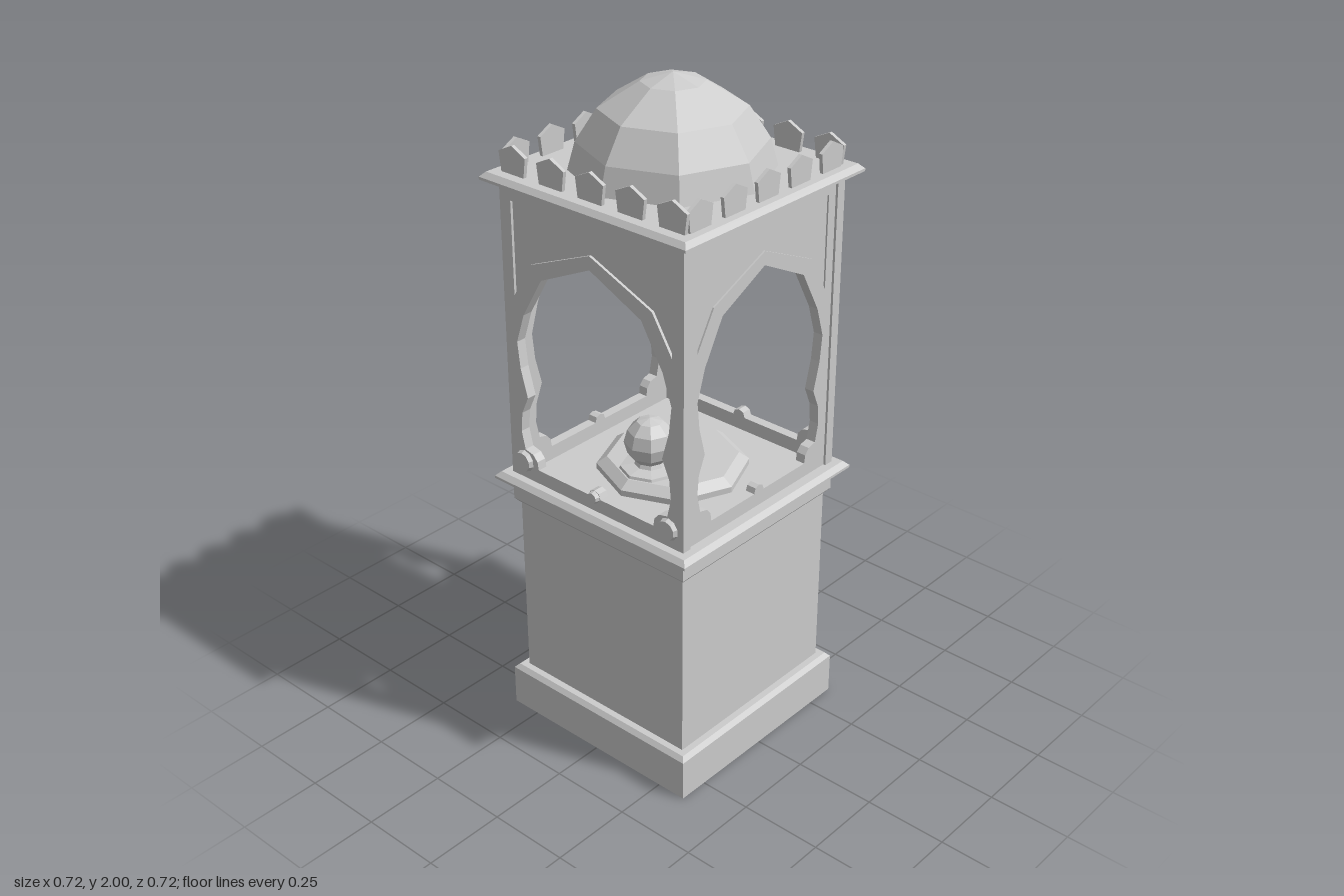
import * as THREE from 'three';

export function createModel() {
  const model = new THREE.Group();
  const stone = new THREE.MeshStandardMaterial({ color: 0xcccccc, flatShading: true });
  stone.name = 'stone';

  const add = (name, geometry, x = 0, y = 0, z = 0, parent = model) => {
    const mesh = new THREE.Mesh(geometry, stone);
    mesh.name = name;
    mesh.position.set(x, y, z);
    parent.add(mesh);
    return mesh;
  };
  const points = (list) => list.map(([x, y]) => new THREE.Vector2(x, y));
  const extrude = (shape, depth) => new THREE.ExtrudeGeometry(shape, { depth, bevelEnabled: false, curveSegments: 6 });

  // Square moulding: a profile of [half width, height] turned in four sides
  const square = (name, profile) => {
    const pts = points(profile.map(([r, y]) => [r * Math.SQRT2, y]));
    add(name, new THREE.LatheGeometry(pts, 4, Math.PI / 4));
  };
  const octagon = (name, profile, x = 0, y = 0, z = 0) =>
    add(name, new THREE.LatheGeometry(points(profile), 8), x, y, z);

  // Lower body
  square('plinth', [[0, 0], [0.342, 0], [0.342, 0.127], [0.33, 0.14], [0, 0.14]]);
  add('pedestal', new THREE.BoxGeometry(0.62, 0.61, 0.608), 0, 0.435, 0.006);
  square('frieze', [[0, 0.72], [0.315, 0.72], [0.325, 0.732], [0.325, 0.8], [0, 0.8]]);

  // Back face with a sunken rectangular panel
  const back = new THREE.Shape(points([[-0.31, 0.13], [0.31, 0.13], [0.31, 0.74], [-0.31, 0.74]]));
  back.holes.push(new THREE.Path(points([[-0.18, 0.38], [-0.18, 0.62], [0.18, 0.62], [0.18, 0.38]])));
  add('backPanel', extrude(back, 0.012), 0, 0, -0.31);

  // Cornices below and above the pavilion
  const cornice = (name, y) => square(name, [
    [0, y], [0.345, y], [0.362, y + 0.01], [0.362, y + 0.018], [0.348, y + 0.032], [0, y + 0.032],
  ]);
  cornice('lowerCornice', 0.79);
  cornice('upperCornice', 1.705);

  // Right half of the arched opening, from the sill to just before the apex
  const half = [
    [0.022, 0.865], [0.218, 0.865], [0.222, 0.89], [0.238, 0.908], [0.268, 0.915],
    [0.281, 0.97], [0.275, 1.03], [0.25, 1.085], [0.274, 1.17], [0.283, 1.25],
    [0.253, 1.34], [0.18, 1.465],
  ];
  const mirrored = half.map(([x, y]) => [-x, y]).reverse();
  const opening = [[0, 0.887], [0.016, 0.881], ...half, [0, 1.55], ...mirrored, [-0.016, 0.881]];
  const spandrel = [
    [-0.285, 1.665], [-0.285, 1.39], [-0.217, 1.5], [0, 1.59], [0.217, 1.5], [0.285, 1.39], [0.285, 1.665],
  ];
  const wallShape = (sunken) => {
    const s = new THREE.Shape(points([[-0.325, 0.815], [0.325, 0.815], [0.325, 1.71], [-0.325, 1.71]]));
    s.holes.push(new THREE.Path(points(opening)));
    if (sunken) s.holes.push(new THREE.Path(points(spandrel)));
    return s;
  };

  // Four arched walls, each a core between two faces with sunken spandrels
  ['front', 'left', 'back', 'right'].forEach((side, i) => {
    const wall = new THREE.Group();
    wall.name = side + 'ArchWall';
    const flank = i % 2 === 1;
    const out = flank ? 0.318 : 0.325;
    const skin = flank ? 0.005 : 0.008;
    add('outerFace', extrude(wallShape(true), skin), 0, 0, out - skin, wall);
    add('core', extrude(wallShape(false), 0.03 - 2 * skin), 0, 0, out - 0.03 + skin, wall);
    add('innerFace', extrude(wallShape(true), skin), 0, 0, out - 0.03, wall);
    if (flank) wall.scale.x = 0.93;
    wall.rotation.y = i * Math.PI / 2;
    model.add(wall);
  });

  // Round bosses on the front sill
  const boss = (name, x, y, r) => {
    const disc = new THREE.CylinderGeometry(r * 0.85, r, 0.014, 10);
    disc.rotateX(Math.PI / 2);
    add(name, disc, x, y, 0.331);
  };
  boss('leftBoss', 0.272, 0.877, 0.034);
  boss('rightBoss', -0.272, 0.877, 0.034);
  boss('middleBoss', 0, 0.867, 0.019);

  // Octagonal dais with a ball finial standing towards the front
  octagon('dais', [[0, 0.81], [0.22, 0.81], [0.22, 0.84], [0.19, 0.862], [0, 0.862]]);
  octagon('finialFoot', [[0, 0.855], [0.09, 0.855], [0.085, 0.87], [0.045, 0.876], [0.036, 0.895], [0, 0.9]], 0, 0, 0.098);
  add('finialBall', new THREE.SphereGeometry(0.074, 8, 6), 0, 0.948, 0.098);

  // Merlons around the roof edge
  const merlon = (w) => {
    const s = new THREE.Shape(points([
      [-w * 0.84, 0], [w * 0.84, 0], [w, 0.058], [0, 0.082], [-w, 0.058],
    ]));
    return extrude(s, 0.011).translate(0, 0, -0.0055);
  };
  for (let i = -2; i <= 2; i++) {
    for (const side of [-1, 1]) {
      add('merlon', merlon(0.049), i * 0.1395, 1.735, side * 0.313);
      add('merlon', merlon(0.046), side * 0.32, 1.735, i * 0.132).rotation.y = Math.PI / 2;
    }
  }

  // Faceted dome
  octagon('dome', [[0.28, 1.735], [0.258, 1.815], [0.2, 1.905], [0.087, 1.976], [0, 2]]);

  return model;
}
